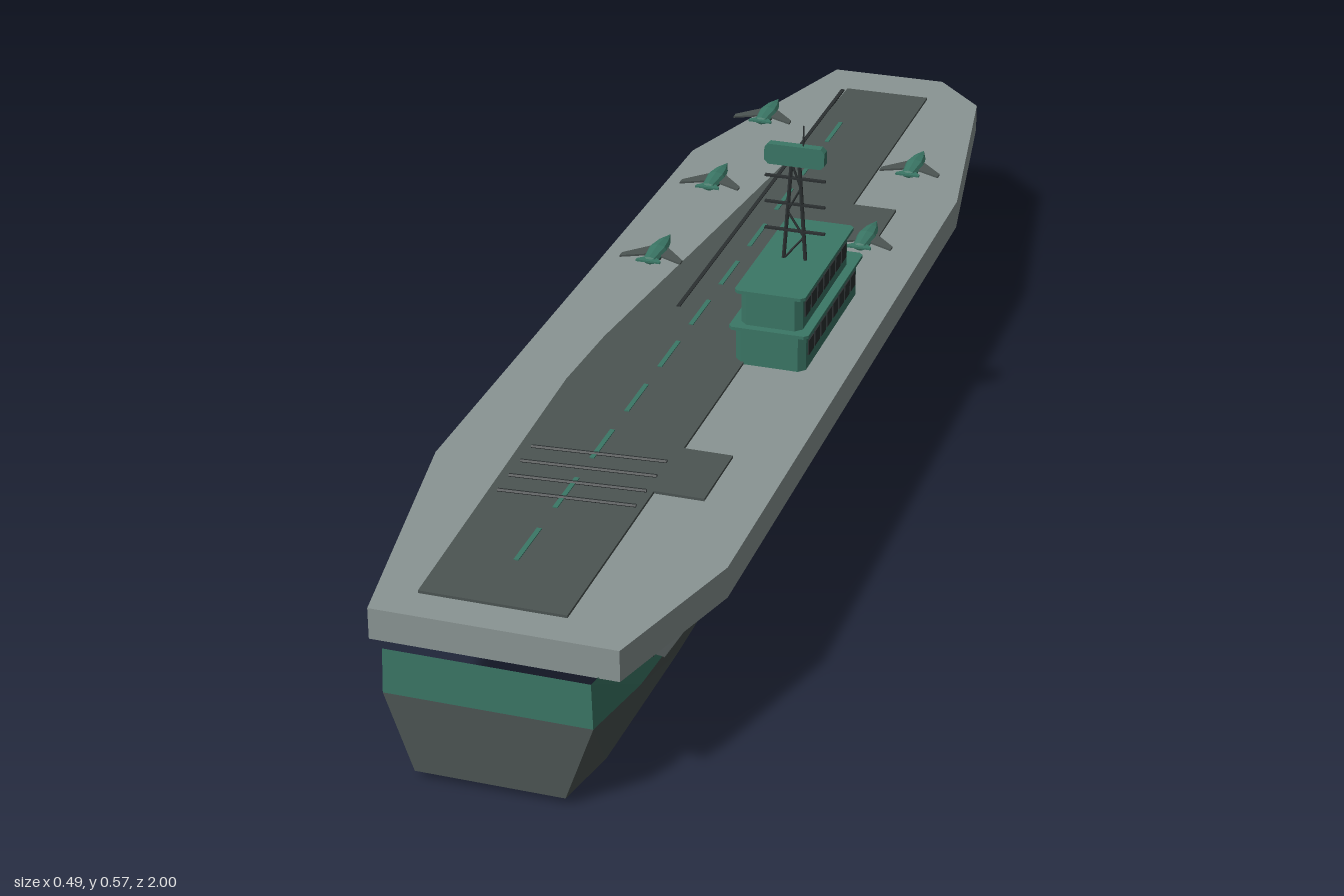
import * as THREE from 'three';

const mat = (name, color) => Object.assign(new THREE.MeshStandardMaterial({ color, flatShading: true }), { name });
const light = mat('light grey', 0x8a9594);
const dark = mat('dark grey', 0x4c5553);
const green = mat('sea green', 0x3b7766);
const black = mat('charcoal', 0x2b3031);
const red = mat('signal red', 0xb0503f);

// Hull stations: z, keel height, half widths at keel, chine and deck line
const CHINE = 0.125, TOP = 0.192;
const stations = [
  [1.0, 0.012, 0.105, 0.145, 0.143], [0.88, 0, 0.118, 0.168, 0.16], [0.6, 0, 0.125, 0.185, 0.174],
  [0, 0, 0.125, 0.185, 0.175], [-0.4, 0, 0.122, 0.18, 0.174], [-0.6, 0, 0.1, 0.162, 0.164],
  [-0.78, 0.012, 0.065, 0.122, 0.135], [-0.92, 0.025, 0.022, 0.055, 0.075], [-0.995, 0.032, 0.001, 0.003, 0.006],
];

// Half width of the hull at any z and y
function hullWidth(z, y) {
  let i = 0;
  while (i < stations.length - 2 && z < stations[i + 1][0]) i++;
  const a = stations[i], b = stations[i + 1], t = (a[0] - z) / (a[0] - b[0]);
  const [, k, w0, w1, w2] = a.map((v, n) => v + (b[n] - v) * t);
  return y < CHINE ? w0 + (w1 - w0) * (y - k) / (CHINE - k) : w1 + (w2 - w1) * (y - CHINE) / (TOP - CHINE);
}

// Surface through rows of points
function loft(rows, flip = false) {
  const pos = [];
  for (let i = 0; i < rows.length - 1; i++)
    for (let j = 0; j < rows[0].length - 1; j++) {
      const a = rows[i][j], b = rows[i][j + 1], c = rows[i + 1][j], d = rows[i + 1][j + 1];
      const quad = flip ? [a, b, c, b, d, c] : [a, c, b, b, c, d];
      quad.forEach((p) => pos.push(...p));
    }
  const g = new THREE.BufferGeometry();
  g.setAttribute('position', new THREE.Float32BufferAttribute(pos, 3));
  g.computeVertexNormals();
  return g;
}

const shapeOf = (pts) => new THREE.Shape(pts.map(([x, y]) => new THREE.Vector2(x, y)));

// Horizontal slab from an outline of [x, z]
function slab(outline, y, h) {
  const g = new THREE.ExtrudeGeometry(shapeOf(outline.map(([x, z]) => [x, -z])), { depth: h, bevelEnabled: false });
  return g.rotateX(-Math.PI / 2).translate(0, y, 0);
}

// Box outline with cut corners
const cutRect = (w, d, c) => [
  [-w + c, -d], [w - c, -d], [w, -d + c], [w, d - c], [w - c, d], [-w + c, d], [-w, d - c], [-w, -d + c]];

export function createModel() {
  const root = new THREE.Group();
  root.name = 'aircraftCarrier';
  const add = (name, geo, m, parent = root) => {
    const mesh = new THREE.Mesh(geo, m);
    mesh.name = name;
    parent.add(mesh);
    return mesh;
  };
  const box = (name, m, w, h, d, x, y, z, parent) =>
    add(name, new THREE.BoxGeometry(w, h, d).translate(x, y, z), m, parent);
  const rod = (name, m, a, b, r, parent) => {
    const p = new THREE.Vector3(...a), q = new THREE.Vector3(...b), dir = q.clone().sub(p);
    const mesh = add(name, new THREE.CylinderGeometry(r, r, dir.length(), 6), m, parent);
    mesh.position.copy(p).add(q).multiplyScalar(0.5);
    mesh.quaternion.setFromUnitVectors(new THREE.Vector3(0, 1, 0), dir.normalize());
  };

  // Hull: dark lower body and green upper band, closed at the stern
  add('lowerHull', loft(stations.map(([z, k, a, b]) =>
    [[-b, CHINE, z], [-a, k, z], [a, k, z], [b, CHINE, z]])), dark);
  add('hullBandLeft', loft(stations.map(([z, , , b, c]) => [[b, CHINE, z], [c, TOP, z]])), green);
  add('hullBandRight', loft(stations.map(([z, , , b, c]) => [[-c, TOP, z], [-b, CHINE, z]])), green);
  const [zs, ks, as, bs, cs] = stations[0];
  add('transomLower', new THREE.ShapeGeometry(shapeOf([[-as, ks], [as, ks], [bs, CHINE], [-bs, CHINE]])).translate(0, 0, zs), dark);
  add('transomUpper', new THREE.ShapeGeometry(shapeOf([[-bs, CHINE], [bs, CHINE], [cs, TOP], [-cs, TOP]])).translate(0, 0, zs), green);

  // Slanted camouflage laid on the hull sides
  function camo(side, z, len, y0, y1, slant) {
    const ys = y0 < CHINE ? [y0, CHINE, y1] : [y0, (y0 + y1) / 2, y1];
    const rows = [];
    for (let i = 0; i <= 6; i++)
      rows.push(ys.map((y) => {
        const pz = z - len * i / 6 - slant * (y1 - y) / (y1 - y0);
        return [side * (hullWidth(pz, y) + 0.003), y, pz];
      }));
    add('camouflagePatch', loft(rows, side < 0), light);
  }

  for (const s of [1, -1]) {
    for (let i = 0; i < 7; i++) camo(s, 0.88 - i * 0.215, 0.12, 0.12, 0.178, 0.08);
    for (let i = 0; i < 3; i++) camo(s, -0.66 - i * 0.085, 0.045, 0.08, 0.185, 0.1);

    // Gun galleries under the deck edge
    for (let i = 0; i < 10; i++) {
      const z = 0.83 - i * 0.173, x = s * (hullWidth(z, 0.18) + 0.008);
      box('gunGallery', black, 0.022, 0.025, 0.085, x, 0.178, z);
      box('gunMount', black, 0.01, 0.02, 0.016, x + s * 0.003, 0.158, z - 0.02);
      rod('gunBarrel', black, [x, 0.16, z - 0.02], [x + s * 0.012, 0.15, z - 0.05], 0.0025);
    }

    // Round side marker
    const disc = add('sideMarker', new THREE.CylinderGeometry(0.026, 0.026, 0.006, 16).rotateZ(Math.PI / 2), red);
    disc.position.set(s * (hullWidth(-0.16, 0.145) + 0.004), 0.145, -0.16);
    disc.rotation.z = s * 0.14;

    // Bow anchor
    const ax = s * (hullWidth(-0.93, 0.12) + 0.006);
    rod('anchorShank', black, [ax, 0.165, -0.93], [ax, 0.11, -0.93], 0.003);
    box('anchorFluke', black, 0.006, 0.008, 0.03, ax, 0.11, -0.93);
  }

  // Flight deck
  add('flightDeck', slab([[-0.105, -1], [0.09, -1], [0.175, -0.91], [0.242, -0.5], [0.242, 0.74], [0.175, 0.98],
    [-0.17, 0.98], [-0.246, 0.56], [-0.237, -0.57]], 0.19, 0.046), light);
  const deckY = 0.236;
  add('runway', slab([[-0.06, -0.91], [0.085, -0.91], [0.085, 0.925], [-0.122, 0.925], [-0.146, 0.3],
    [-0.14, 0.15], [-0.105, -0.2], [-0.07, -0.56]], deckY, 0.004), dark);
  for (const z of [-0.365, 0.515]) box('elevator', dark, 0.075, 0.004, 0.13, 0.12, deckY + 0.002, z);
  for (let i = 0; i < 11; i++) box('centreDash', green, 0.007, 0.003, 0.088, -0.028, deckY + 0.004, -0.71 + i * 0.148);
  box('catapultTrack', black, 0.006, 0.003, 0.92, -0.066, deckY + 0.004, -0.44);
  for (let i = 0; i < 4; i++)
    rod('arrestorWire', black, [-0.12, deckY + 0.005, 0.512 + i * 0.044], [0.076, deckY + 0.005, 0.497 + i * 0.044], 0.003);

  // Island: two storeys with overhanging roofs and rows of windows
  const island = new THREE.Group();
  island.name = 'island';
  root.add(island);
  const storeys = [
    { x: 0.124, z: 0.023, w: 0.054, d: 0.145, y: 0.236, h: 0.058, n: 8 },
    { x: 0.124, z: 0.035, w: 0.047, d: 0.128, y: 0.297, h: 0.055, n: 7 },
  ];
  for (const { x, z, w, d, y, h, n } of storeys) {
    add('storey', slab(cutRect(w, d, 0.01), y, h).translate(x, 0, z), green, island);
    add('roof', slab(cutRect(w + 0.007, d + 0.008, 0.006), y + h, 0.005).translate(x, 0, z), green, island);
    const step = (2 * d - 0.03) / n;
    for (let i = 0; i < n; i++)
      for (const s of [1, -1])
        box('sideWindow', black, 0.004, 0.024, step * 0.78, x + s * w, y + h * 0.56, z + (i - (n - 1) / 2) * step, island);
    for (let i = -1; i <= 1; i++)
      box('bowWindow', black, 0.022, 0.024, 0.004, x + i * 0.027, y + h * 0.56, z - d, island);
  }

  // Lattice mast with yards and radar
  const mast = new THREE.Group();
  mast.name = 'mast';
  root.add(mast);
  const mz = 0.04, mx = 0.124, y0 = 0.355, y1 = 0.512;
  const leg = (s, t) => [mx + s * (0.017 - 0.011 * t), y0 + (y1 - y0) * t, mz];
  for (const s of [1, -1]) rod('mastLeg', black, leg(s, 0), leg(s, 1), 0.003, mast);
  for (let i = 0; i < 4; i++) {
    const s = i % 2 ? 1 : -1;
    rod('mastBrace', black, leg(s, i / 4), leg(-s, (i + 1) / 4), 0.0018, mast);
  }
  for (const y of [0.403, 0.446, 0.488]) box('yard', black, 0.093, 0.003, 0.006, mx, y, mz, mast);
  add('radar', new THREE.ExtrudeGeometry(shapeOf(cutRect(0.046, 0.016, 0.006)),
    { depth: 0.014, bevelEnabled: false }).translate(mx, 0.525, mz - 0.007), green, mast);
  rod('antenna', black, [0.136, 0.54, mz], [0.136, 0.573, mz], 0.0012, mast);

  // Parked aircraft, noses toward the bow
  for (const [x, z] of [[-0.155, -0.74], [-0.155, -0.445], [-0.155, -0.145], [0.145, -0.595], [0.145, -0.295]]) {
    const plane = new THREE.Group();
    plane.name = 'aircraft';
    plane.position.set(x, 0.25, z);
    root.add(plane);
    const profile = [[0, -0.045], [0.011, -0.042], [0.016, 0], [0.011, 0.03], [0, 0.062]];
    add('fuselage', new THREE.LatheGeometry(profile.map(([a, b]) => new THREE.Vector2(a, b)), 8)
      .rotateX(-Math.PI / 2).scale(1, 0.6, 1), green, plane);
    add('wings', slab([[0, -0.025], [0.05, 0.028], [0.05, 0.04], [0.012, 0.022], [-0.012, 0.022], [-0.05, 0.04], [-0.05, 0.028]],
      -0.0015, 0.003), dark, plane);
    add('tailplane', slab([[0, 0.025], [0.02, 0.045], [0.02, 0.05], [-0.02, 0.05], [-0.02, 0.045]], 0, 0.003), green, plane);
    box('landingGear', black, 0.012, 0.012, 0.012, 0, -0.008, 0, plane);
  }
  return root;
}
